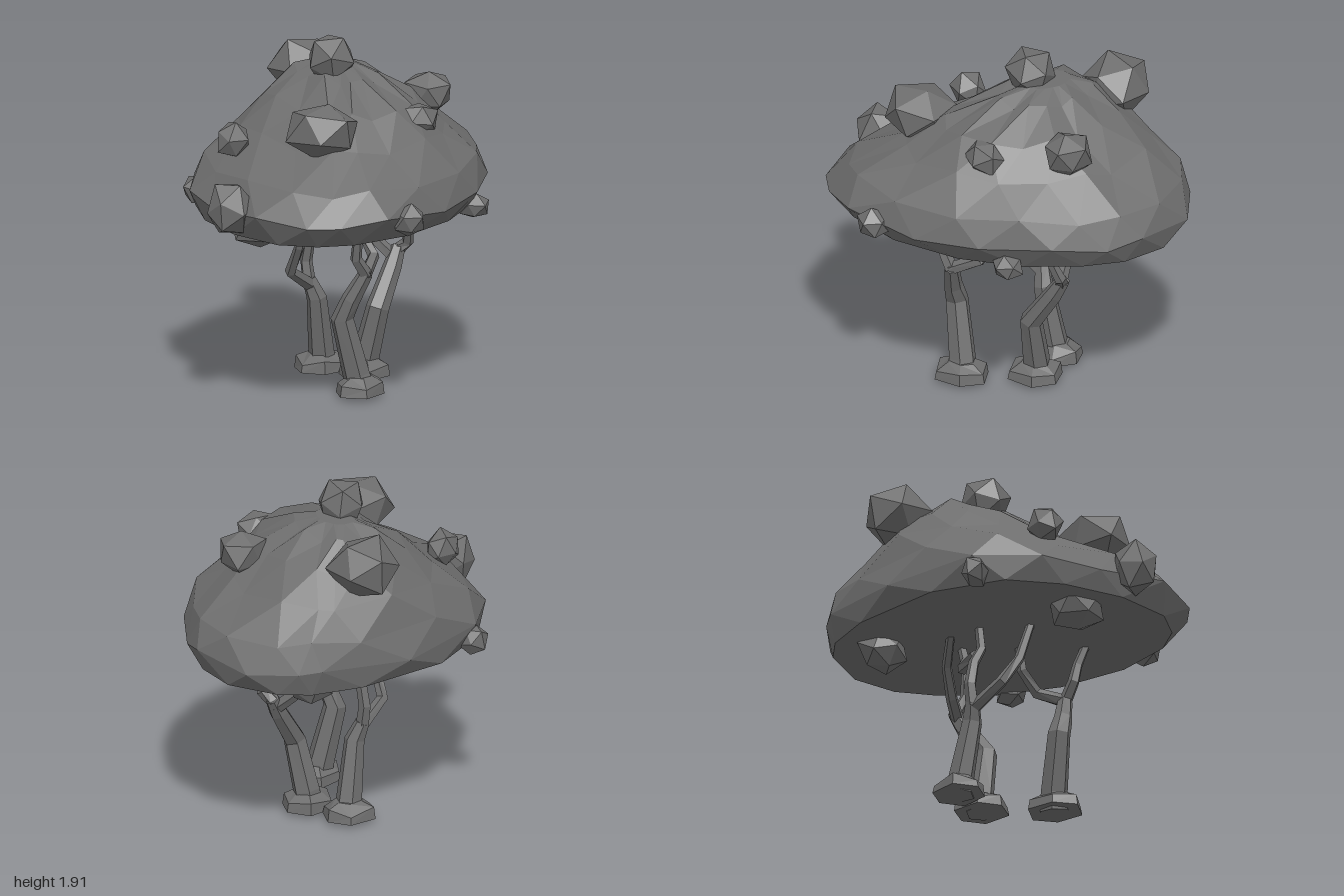
import * as THREE from 'three';

const lerp = THREE.MathUtils.lerp;

// Skin closed rings of points (counterclockwise around the direction of travel) and cap both ends
function loft(rings) {
  const pos = [];
  const tri = (...pts) => pts.forEach((p) => pos.push(p.x, p.y, p.z));
  const n = rings[0].length;
  for (let i = 0; i < rings.length - 1; i++) {
    for (let j = 0; j < n; j++) {
      const k = (j + 1) % n;
      const a = rings[i][j], b = rings[i][k], c = rings[i + 1][k], d = rings[i + 1][j];
      if (i % 2) { tri(a, b, d); tri(b, c, d); } else { tri(a, b, c); tri(a, c, d); }
    }
  }
  const middle = (r) => r.reduce((s, p) => s.add(p), new THREE.Vector3()).divideScalar(n);
  const first = rings[0], last = rings[rings.length - 1];
  const m0 = middle(first), m1 = middle(last);
  for (let j = 0; j < n; j++) {
    const k = (j + 1) % n;
    tri(m0, first[k], first[j]);
    tri(m1, last[j], last[k]);
  }
  const g = new THREE.BufferGeometry();
  g.setAttribute('position', new THREE.Float32BufferAttribute(pos, 3));
  g.computeVertexNormals();
  return g;
}

// Limb through the given points, tapering evenly from radius r0 to r1
function limb(points, r0, r1, sides) {
  const c = points.map((p) => new THREE.Vector3(...p)), end = c.length - 1;
  return loft(c.map((p, i) => {
    const t = c[Math.min(i + 1, end)].clone().sub(c[Math.max(i - 1, 0)]).normalize();
    const u = new THREE.Vector3(0, 0, 1).cross(t).normalize();
    const v = t.clone().cross(u);
    const r = lerp(r0, r1, i / end);
    return Array.from({ length: sides }, (_, j) => {
      const a = (j / sides) * Math.PI * 2;
      return p.clone().addScaledVector(u, r * Math.cos(a)).addScaledVector(v, r * Math.sin(a));
    });
  }));
}

// Cap outline seen from above, and the x and z extents it takes at each height
const OUTLINE = [
  [1, 0], [1, -0.38], [0.83, -0.61], [0.73, -0.69], [0.2, -0.83], [-0.35, -0.77], [-0.65, -0.54], [-0.8, -0.23],
  [-0.91, 0.17], [-0.83, 0.47], [-0.7, 0.6], [-0.46, 0.73], [0, 0.73], [0.37, 0.63], [0.7, 0.41], [0.9, 0.18],
];
const LEVELS = [ // y, xMin, xMax, zMin, zMax
  [0.97, -0.85, 0.95, -0.79, 0.63],
  [1.1, -0.91, 1, -0.83, 0.74],
  [1.25, -0.77, 0.94, -0.79, 0.68],
  [1.41, -0.46, 0.72, -0.71, 0.5],
  [1.56, -0.25, 0.53, -0.6, 0.35],
  [1.68, -0.03, 0.36, -0.46, 0.08],
  [1.73, 0.09, 0.26, -0.34, -0.08],
];

function canopy() {
  const n = OUTLINE.length;
  const curve = new THREE.CatmullRomCurve3(OUTLINE.map(([x, z]) => new THREE.Vector3(x, 0, z)), true);
  return loft(LEVELS.map(([y, x0, x1, z0, z1], i) => Array.from({ length: n }, (_, j) => {
    const p = curve.getPoint((j + (i % 2 ? 0 : 0.5)) / n);
    const wobble = i > 0 && i < 6 ? 0.022 * Math.sin(j * 2.3 + i * 1.7) : 0;
    return new THREE.Vector3(lerp(x0, x1, (p.x + 0.91) / 1.91), y + wobble, lerp(z0, z1, (p.z + 0.83) / 1.56));
  })));
}

// Faceted lump with an exact half width and half height
function lump(width, height, seed) {
  const g = new THREE.IcosahedronGeometry(1, 0);
  g.rotateX(seed * 1.3).rotateY(seed * 2.1).rotateZ(seed * 0.7);
  const pos = g.attributes.position, p = new THREE.Vector3();
  for (let i = 0; i < pos.count; i++) {
    p.fromBufferAttribute(pos, i);
    p.multiplyScalar(1 + 0.1 * Math.sin(7 * p.x + 5 * p.y + 3 * p.z + seed));
    pos.setXYZ(i, p.x, p.y, p.z);
  }
  g.center();
  g.boundingBox.getSize(p);
  g.scale(2 * width / p.x, 2 * height / p.y, 2 * width / p.z);
  g.computeVertexNormals();
  return g;
}

const LUMPS = [ // x, y, z, half width, half height
  [0.32, 1.6, -0.605, 0.175, 0.165],
  [0.075, 1.765, -0.16, 0.13, 0.125],
  [-0.515, 1.4, -0.34, 0.09, 0.1],
  [-0.405, 1.51, 0.21, 0.185, 0.145],
  [0.19, 1.495, 0.37, 0.105, 0.085],
  [0.565, 1.525, 0.115, 0.125, 0.13],
  [-0.88, 1.13, -0.025, 0.12, 0.14],
  [-0.35, 1.02, -0.745, 0.08, 0.08],
  [-0.29, 1.09, 0.745, 0.085, 0.095],
  [0.48, 0.99, 0.525, 0.085, 0.07],
  [-0.545, 0.95, -0.13, 0.135, 0.11],
  [0.58, 0.94, -0.44, 0.125, 0.11],
];

// Flared foot with an uneven rim
function foot([x, , z], seed) {
  return loft([0, 0.055, 0.095].map((y, k) => Array.from({ length: 6 }, (_, j) => {
    const a = (j / 6) * Math.PI * 2 + seed;
    const r = [0.16, 0.15, 0.08][k] * (1 + 0.08 * Math.sin(j * 2.1 + seed));
    const rise = k === 1 ? 0.015 * Math.sin(j * 3 + seed) : 0;
    return new THREE.Vector3(x + r * Math.cos(a), y + rise, z - r * 0.85 * Math.sin(a));
  })));
}

export function createModel() {
  const model = new THREE.Group();
  const stone = new THREE.MeshStandardMaterial({ color: 0x6e6e6e });
  stone.name = 'stoneGrey';
  stone.flatShading = true;
  const add = (parent, name, geometry) => {
    const mesh = new THREE.Mesh(geometry, stone);
    mesh.name = name;
    parent.add(mesh);
    return mesh;
  };
  // A stem is a foot, a trunk and its forking branches
  const addStem = (name, seed, trunk, ...branches) => {
    const stem = new THREE.Group();
    stem.name = name;
    add(stem, 'foot', foot(trunk[0], seed));
    add(stem, 'trunk', limb(trunk, 0.088, 0.04, 6));
    branches.forEach((b) => add(stem, 'branch', limb(b, 0.038, 0.024, 5)));
    model.add(stem);
  };

  add(model, 'canopy', canopy());

  const lumps = new THREE.Group();
  lumps.name = 'lumps';
  LUMPS.forEach(([x, y, z, w, h], i) => add(lumps, 'lump', lump(w, h, i + 1)).position.set(x, y, z));
  model.add(lumps);

  addStem('rightStem', 0,
    [[-0.1, 0, 0.21], [-0.11, 0.1, 0.19], [-0.18, 0.42, 0.15], [-0.165, 0.53, 0.2], [-0.12, 0.68, 0.27]],
    [[-0.12, 0.67, 0.27], [-0.19, 0.77, 0.26], [-0.2, 0.87, 0.28], [-0.24, 1, 0.31]],
    [[-0.13, 0.67, 0.27], [0.02, 0.74, 0.2], [0.04, 0.85, 0.1], [0.04, 1, 0.07]]);
  addStem('leftStem', 1,
    [[0.21, 0, -0.04], [0.22, 0.1, -0.04], [0.24, 0.38, 0.03], [0.38, 0.58, 0.01], [0.44, 0.68, 0]],
    [[0.43, 0.66, 0], [0.46, 0.71, 0.05], [0.43, 0.8, 0.08], [0.44, 1, 0.1]],
    [[0.41, 0.62, 0], [0.37, 0.71, -0.1], [0.32, 0.85, -0.2], [0.22, 1, -0.28]]);
  addStem('backStem', 2,
    [[0.15, 0, -0.3], [0.14, 0.1, -0.29], [0.08, 0.42, -0.27], [0.05, 0.52, -0.3]],
    [[0.05, 0.5, -0.3], [0.05, 0.62, -0.32], [0.05, 0.76, -0.29], [0.03, 0.85, -0.25], [0.04, 1, -0.26]],
    [[0.05, 0.49, -0.29], [-0.13, 0.6, -0.27], [-0.17, 0.76, -0.17], [-0.2, 1, -0.1]],
    [[0.05, 0.81, -0.27], [0.19, 0.79, -0.22], [0.23, 0.87, -0.15], [0.3, 1, -0.1]]);
  return model;
}
